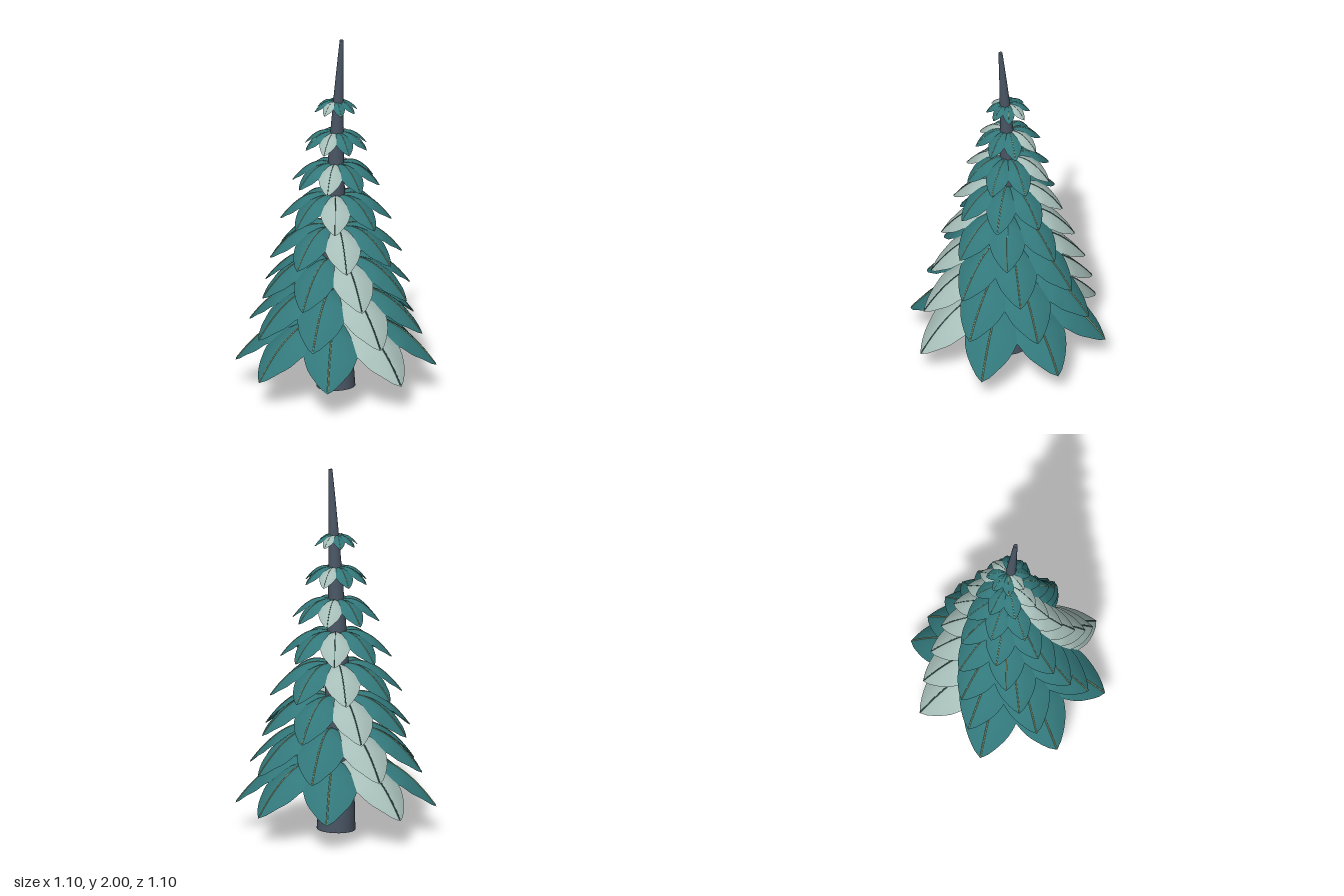
import * as THREE from 'three';

const mat = (name, color, double) => {
  const m = new THREE.MeshStandardMaterial({ color });
  m.name = name;
  if (double) m.side = THREE.DoubleSide;
  return m;
};

// Height of the midrib of a unit leaf, at distance t from the axis
const ribHeight = t => 0.42 + 0.56 * t - 0.98 * t * t;
// Relative leaf width along its length, pointed at both ends
const leafWidth = t => Math.pow(Math.max(0, Math.sin(Math.PI * Math.pow(t, 1.25))), 0.8);

// Arched unit leaf along +x whose edges droop and ripple slightly
function leafGeometry() {
  const g = new THREE.PlaneGeometry(1, 2, 22, 10).rotateX(-Math.PI / 2);
  const p = g.attributes.position;
  for (let i = 0; i < p.count; i++) {
    const t = THREE.MathUtils.clamp(p.getX(i) + 0.5, 0, 1);
    const u = p.getZ(i);
    const w = leafWidth(t);
    const edge = Math.abs(u);
    const y = ribHeight(t) - 0.11 * w * Math.pow(edge, 1.6) + 0.008 * w * edge * edge * Math.sin(t * 30);
    p.setXYZ(i, t, y, 0.275 * w * u);
  }
  g.computeVertexNormals();
  return g;
}

// Thin vein following the midrib
function veinGeometry() {
  const pts = [];
  for (let i = 0; i <= 10; i++) {
    const t = 0.1 + 0.89 * i / 10;
    pts.push(new THREE.Vector3(t, ribHeight(t), 0));
  }
  return new THREE.TubeGeometry(new THREE.CatmullRomCurve3(pts), 22, 0.008, 5);
}

// Tapered trunk, gently bent so the tip leans to +x
function trunkGeometry() {
  const g = new THREE.CylinderGeometry(0.011, 0.106, 1.995, 24, 20).translate(0, 1.0025, 0);
  const p = g.attributes.position;
  for (let i = 0; i < p.count; i++) {
    const x = p.getX(i), y = p.getY(i);
    const slope = -0.044 + 0.068 * y;
    p.setX(i, x - 0.044 * y + 0.034 * y * y);
    p.setY(i, y - x * slope);
  }
  g.computeVertexNormals();
  return g;
}

export function createModel() {
  const model = new THREE.Group();
  model.name = 'tree';
  const teal = mat('teal leaf', 0x32777a, true);
  const pale = mat('pale leaf', 0xa6bdb8, true);
  const bark = mat('slate bark', 0x4a5665);
  const paleVein = mat('pale vein', 0x93a67e);
  const darkVein = mat('dark vein', 0x3c615c);

  const trunk = new THREE.Mesh(trunkGeometry(), bark);
  trunk.name = 'trunk';
  model.add(trunk);

  const leafGeo = leafGeometry();
  const veinGeo = veinGeometry();

  // Eight shrinking tiers of eight leaves, each turned a little further
  for (let k = 0; k < 8; k++) {
    const tier = new THREE.Group();
    tier.name = `leafTier${k + 1}`;
    tier.position.y = 0.138 + 0.2065 * k;
    tier.scale.setScalar(0.55 - 0.0615 * k);
    tier.rotation.y = -THREE.MathUtils.degToRad(10.3 * k);
    for (let i = 0; i < 8; i++) {
      const isPale = i % 4 === 0;
      const leaf = new THREE.Group();
      leaf.name = 'leaf';
      leaf.rotation.y = -i * Math.PI / 4;
      const blade = new THREE.Mesh(leafGeo, isPale ? pale : teal);
      blade.name = 'leafBlade';
      const vein = new THREE.Mesh(veinGeo, isPale ? darkVein : paleVein);
      vein.name = 'leafVein';
      leaf.add(blade, vein);
      tier.add(leaf);
    }
    model.add(tier);
  }
  // Only every fourth leaf is pale: two opposite pale columns
  return model;
}
